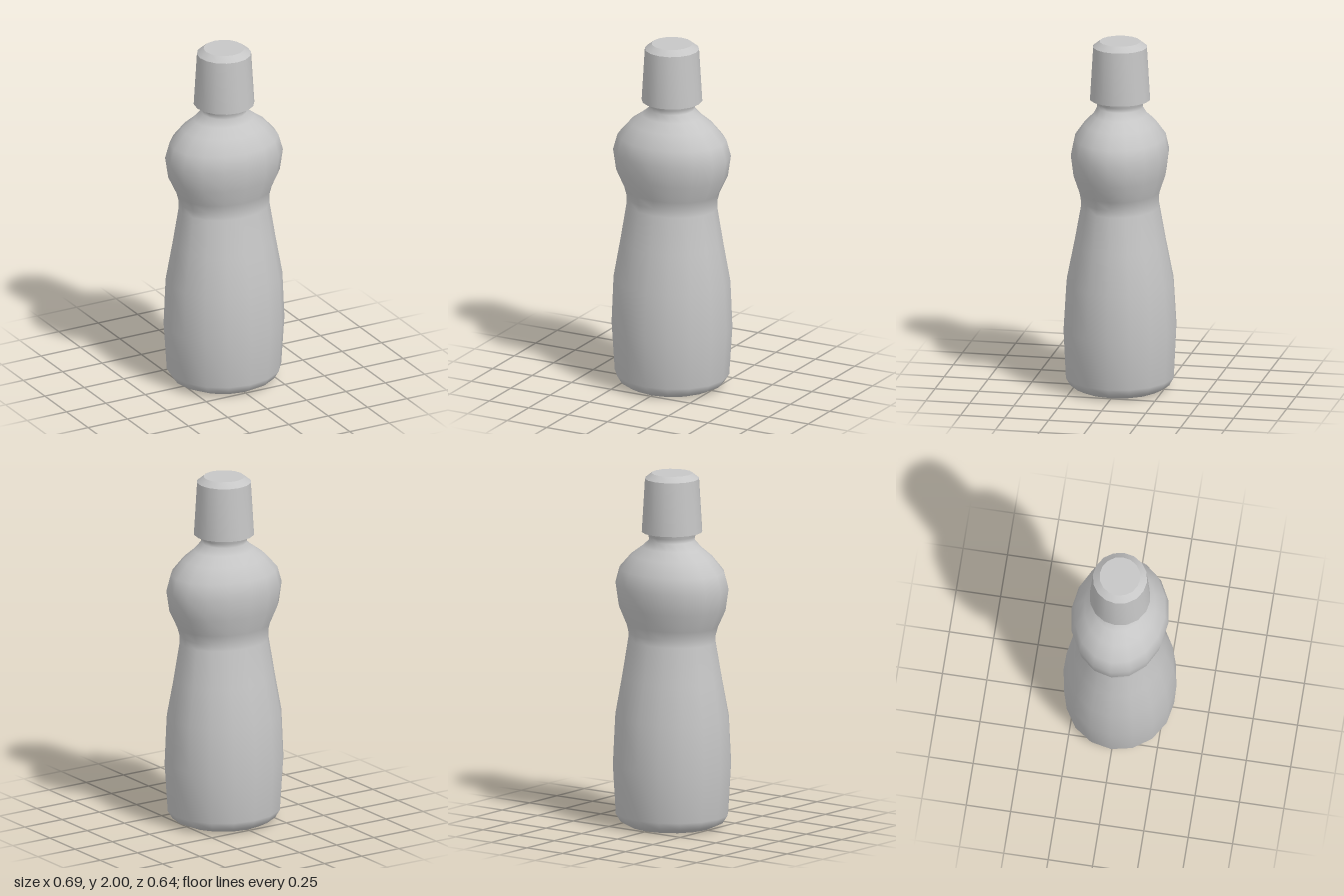
import * as THREE from 'three';
import { mergeVertices } from 'three/addons/utils/BufferGeometryUtils.js';

const SIDES = 16;

// Oval loft from rings of [y, half width in x, half depth in z], listed from bottom to top
function ovalLoft(rings) {
  const profile = rings.map(([y, rx]) => new THREE.Vector2(rx, y));
  const geo = new THREE.LatheGeometry(profile, SIDES);
  const pos = geo.attributes.position;
  for (let i = 0; i < pos.count; i++) {
    const [, rx, rz] = rings[i % rings.length];
    if (rx > 0) pos.setZ(i, pos.getZ(i) * rz / rx);
  }
  // Weld the seam so the shading is smooth all round
  geo.deleteAttribute('uv');
  geo.deleteAttribute('normal');
  const welded = mergeVertices(geo, 1e-5);
  welded.computeVertexNormals();
  return welded;
}

export function createModel() {
  const model = new THREE.Group();
  model.name = 'bottle';
  const grey = new THREE.MeshStandardMaterial({ color: 0xc6c6c6 });
  grey.name = 'light grey plastic';

  function add(name, rings, parent) {
    const mesh = new THREE.Mesh(ovalLoft(rings), grey);
    mesh.name = name;
    parent.add(mesh);
  }

  // Body: oval base, narrow waist, rounded shoulder and round neck
  add('body', [
    [0, 0.24, 0.235],
    [0.025, 0.295, 0.28],
    [0.07, 0.324, 0.305],
    [0.35, 0.343, 0.318],
    [0.62, 0.333, 0.301],
    [0.84, 0.295, 0.257],
    [1.05, 0.262, 0.219],
    [1.09, 0.262, 0.217],
    [1.14, 0.276, 0.225],
    [1.24, 0.325, 0.258],
    [1.36, 0.343, 0.273],
    [1.45, 0.317, 0.254],
    [1.53, 0.245, 0.198],
    [1.58, 0.175, 0.148],
    [1.62, 0.127, 0.127],
    [1.645, 0.132, 0.132],
    [1.67, 0.14, 0.14],
  ], model);

  // Hollow under the base
  add('baseHollow', [
    [0.05, 0, 0],
    [0.045, 0.1, 0.098],
    [0.03, 0.18, 0.176],
    [0, 0.24, 0.235],
  ], model);

  // Cap: separate bands keep its rims sharp
  const cap = new THREE.Group();
  cap.name = 'cap';
  model.add(cap);
  add('capUnderside', [[1.668, 0.125, 0.125], [1.668, 0.17, 0.17]], cap);
  add('capSkirt', [[1.668, 0.17, 0.17], [1.97, 0.152, 0.152]], cap);
  add('capBevel', [[1.97, 0.152, 0.152], [2, 0.114, 0.114]], cap);
  add('capTop', [[2, 0.114, 0.114], [2, 0, 0]], cap);

  return model;
}
